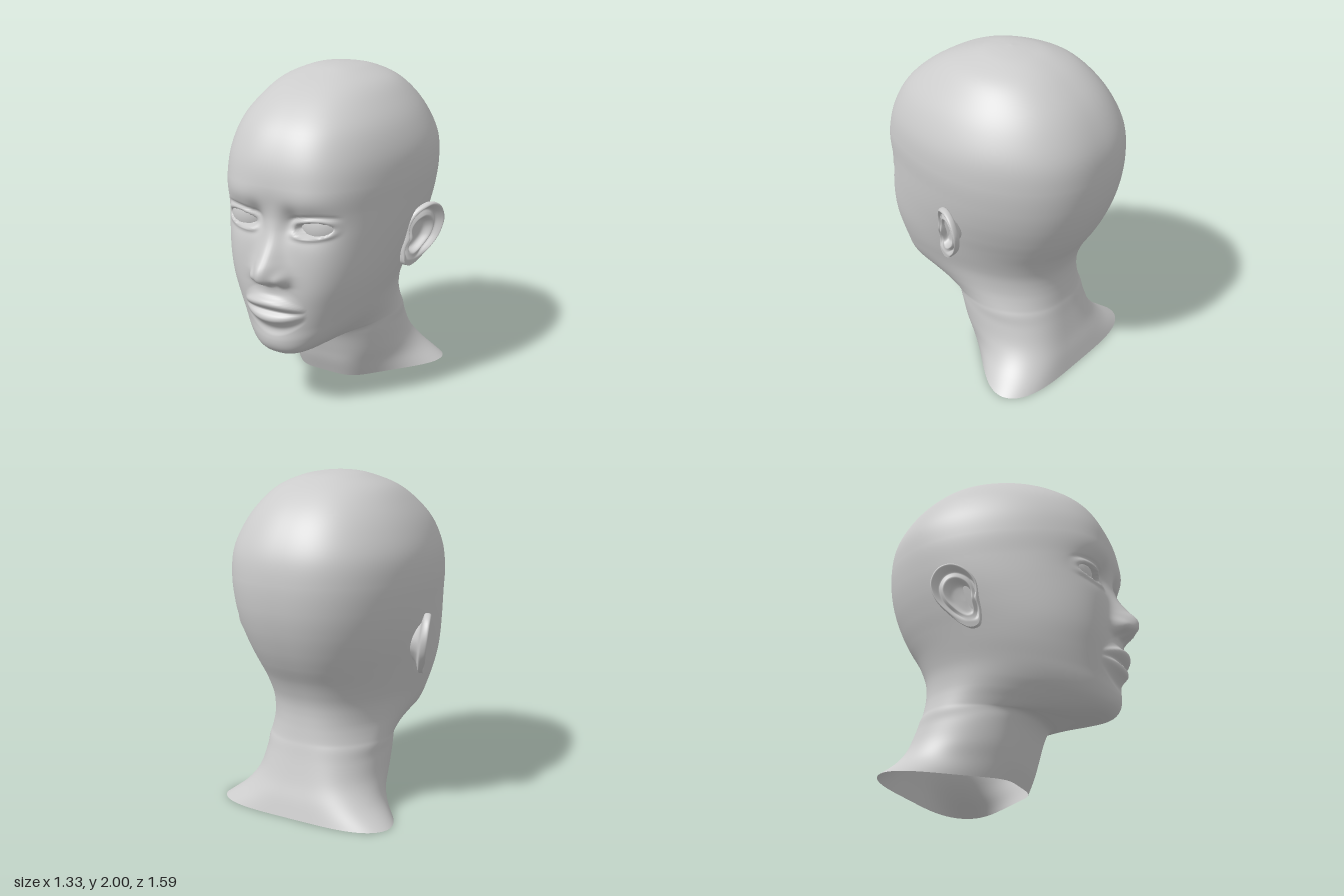
import * as THREE from 'three';

const { lerp, smoothstep, clamp } = THREE.MathUtils;
const bump = (x, y, cx, cy, sx, sy) => Math.exp(-(((x - cx) / sx) ** 2) - ((y - cy) / sy) ** 2);

// Smooth interpolation through [position, value] pairs
function curve(pairs) {
  const f = new THREE.CubicInterpolant(pairs.map(p => p[0]), pairs.map(p => p[1]), 1);
  return v => f.evaluate(v)[0];
}

// Smooth surface through closed rows of points
function skin(rows, flip = false) {
  const n = rows[0].length, index = [];
  for (let i = 0; i < rows.length - 1; i++) {
    for (let j = 0; j < n; j++) {
      const a = i * n + j, b = i * n + (j + 1) % n, c = b + n, d = a + n;
      index.push(...(flip ? [a, c, b, a, d, c] : [a, b, c, a, c, d]));
    }
  }
  const g = new THREE.BufferGeometry().setFromPoints(rows.flat());
  g.setIndex(index);
  g.computeVertexNormals();
  return g;
}

// Rings from neck base to crown: front y, front z, back y, back z, front half-width, back half-width
const RINGS = [
  [0, .04, 0, -.69, .30, .67],
  [.10, .08, .10, -.66, .32, .50],
  [.20, .11, .20, -.625, .35, .41],
  [.33, .155, .32, -.59, .36, .38],
  [.38, .21, .40, -.57, .34, .382],
  [.365, .32, .44, -.56, .30, .386],
  [.35, .46, .49, -.552, .275, .391],
  [.36, .575, .54, -.546, .285, .397],
  [.40, .63, .60, -.543, .33, .405],
  [.47, .65, .66, -.548, .375, .415],
  [.55, .65, .72, -.565, .41, .43],
  [.67, .655, .80, -.60, .45, .455],
  [.80, .66, .90, -.66, .485, .485],
  [.95, .655, 1.0, -.71, .51, .52],
  [1.1, .642, 1.12, -.755, .53, .555],
  [1.25, .642, 1.25, -.785, .54, .582],
  [1.4, .655, 1.4, -.795, .545, .60],
  [1.55, .625, 1.55, -.775, .535, .59],
  [1.7, .545, 1.69, -.71, .49, .53],
  [1.82, .415, 1.81, -.615, .41, .445],
  [1.91, .26, 1.91, -.485, .315, .34],
  [1.97, .09, 1.97, -.35, .19, .2],
  [1.992, -.005, 1.992, -.225, .095, .1],
  [2.0, -.11, 2.0, -.11, 0, 0],
];

// Profiles of nose and lips, as projection from the face by height
const nose = curve([[.77, 0], [.80, .012], [.825, .03], [.845, .08], [.87, .123], [.91, .14],
  [.95, .13], [1.0, .09], [1.1, .033], [1.2, .004], [1.28, 0], [1.36, 0]]);
const lips = curve([[.50, 0], [.545, -.004], [.58, .02], [.61, .052], [.64, .048], [.668, .02],
  [.69, .045], [.712, .065], [.735, .062], [.757, .032], [.79, .012], [.83, 0]]);

const EYE = { x: .237, y: 1.172, z: .425, r: .16 };

// Forward displacement of the face at a point
function relief(px, y) {
  const x = Math.abs(px);
  let d = 0;
  // nose ridge, wings and nostrils
  const w = .05 + .043 * clamp((1.15 - y) / .25, 0, 1);
  d += nose(y) * Math.exp(-((x / w) ** 2));
  d += .03 * bump(x, y, .092, .88, .034, .042);
  d -= .025 * bump(x, y, .05, .845, .028, .015);
  // lips, tapering to the corners
  const q = Math.max(0, 1 - (x / .205) ** 2);
  d += q * lips(.668 + (y - .668) / lerp(.35, 1, q));
  // chin
  d += .01 * bump(x, y, 0, .45, .11, .06);
  // eye sockets and brows
  d -= .035 * bump(x, y, .115, 1.2, .055, .075);
  d -= .035 * bump(x, y, .24, 1.18, .13, .085);
  d += .01 * bump(x, y, .22, 1.33, .16, .07);
  // eye opening, lids and the crease above
  const dx = x - EYE.x, dy = y - EYE.y - .08 * dx;
  const e = Math.hypot(dx / .112, dy / .041);
  const near = 1 - smoothstep(Math.abs(dx), .09, .165);
  d -= .045 * (1 - smoothstep(e, .75, 1));
  d += .016 * near * Math.exp(-(((e - 1.25) / .3) ** 2));
  if (dy > 0) d -= .009 * near * Math.exp(-(((e - 1.85) / .22) ** 2));
  return d;
}

function headGeometry() {
  const rings = new THREE.CubicInterpolant(RINGS.map((r, i) => i), RINGS.flat(), 6);
  const half = 110, rows = [];
  const addRow = u => {
    const [yF, zF, yB, zB, wF, wB] = rings.evaluate(u);
    // roundness of the ring: flatter across the face, squarer at the neck base
    const back = lerp(.5, .8, smoothstep(u, 0, 5));
    const front = back - .23 * smoothstep(u, 9, 13) * (1 - .8 * smoothstep(u, 14, 19));
    const widen = lerp(1, .75, smoothstep(u, 0, 4));
    // the jaw sweeps up more quickly towards the ears
    const rise = 1.6 + .8 * smoothstep(u, 3, 6) * (1 - smoothstep(u, 9, 13));
    const side = [];
    for (let j = 0; j <= half; j++) {
      const t = (j / half) ** 1.5;
      const s = (1 - Math.cos(Math.PI * t)) / 2;
      const power = lerp(front, back, smoothstep(s, 0, .6));
      const x = lerp(wF, wB, smoothstep(s, 0, widen)) * Math.max(0, Math.sin(Math.PI * t)) ** power;
      const y = lerp(yF, yB, 1 - (1 - s) ** rise);
      const z = lerp(zF, zB, s);
      side.push(new THREE.Vector3(x, y, z + relief(x, y) * smoothstep(z, .25, .45)));
    }
    const mirrored = side.slice(1, half).reverse().map(p => new THREE.Vector3(-p.x, p.y, p.z));
    rows.push([...side, ...mirrored]);
  };
  // finer rows over the face
  for (let i = 0; i < RINGS.length - 1; i++) {
    const steps = i >= 7 && i < 16 ? 15 : 5;
    for (let k = 0; k < steps; k++) addRow(i + k / steps);
  }
  addRow(RINGS.length - 1);
  return skin(rows);
}

// Ear: an outline seen from the side, swept by a section from bowl over rim to the back
function earGeometry(sign) {
  const outline = new THREE.CatmullRomCurve3([
    [.15, 1.2], [.22, 1.17], [.262, 1.08], [.24, .98], [.18, .90], [.1, .83],
    [.05, .81], [.01, .83], [0, .9], [.01, 1.0], [.02, 1.1], [.07, 1.17],
  ].map(([a, b]) => new THREE.Vector3(a, b, 0)), true).getPoints(72).slice(0, 72);
  const section = new THREE.SplineCurve([
    [0, -.02], [.28, -.02], [.46, -.012], [.58, .026], [.68, .02], [.78, .008], [.86, .03],
    [.93, .046], [.985, .038], [1, .018], [.97, .002], [.84, -.006], [.62, -.022], [.42, -.09],
  ].map(([k, h]) => new THREE.Vector2(k, h))).getPoints(52);
  const rows = section.map(({ x: k, y: h }, i) => outline.map(p => {
    const a = lerp(.095, p.x, k), y = lerp(.99, p.y, k);
    let lift = h > 0 ? h * lerp(.55, 1, smoothstep(a, 0, .12)) : h;
    // fleshy lobe and the small flap before the bowl
    if (i < 36) {
      lift = lerp(lift, .034, 1 - smoothstep(y, .84, .92));
      lift += .02 * bump(a, y, .03, .985, .02, .035);
    }
    return new THREE.Vector3(sign * (.505 + .41 * a + .12 * (y - 1) + lift), y, -a);
  }));
  return skin(rows, sign < 0);
}

export function createModel() {
  const model = new THREE.Group();
  model.name = 'headBust';
  const material = new THREE.MeshStandardMaterial({ color: 0xcccccc, side: THREE.DoubleSide });
  const add = (name, geometry) => {
    const mesh = new THREE.Mesh(geometry, material);
    mesh.name = name;
    model.add(mesh);
    return mesh;
  };

  add('headAndNeck', headGeometry());
  for (const [label, sign] of [['left', 1], ['right', -1]]) {
    add(label + 'Ear', earGeometry(sign));
    add(label + 'Eyeball', new THREE.SphereGeometry(EYE.r, 32, 24))
      .position.set(sign * EYE.x, EYE.y, EYE.z);
  }
  return model;
}
